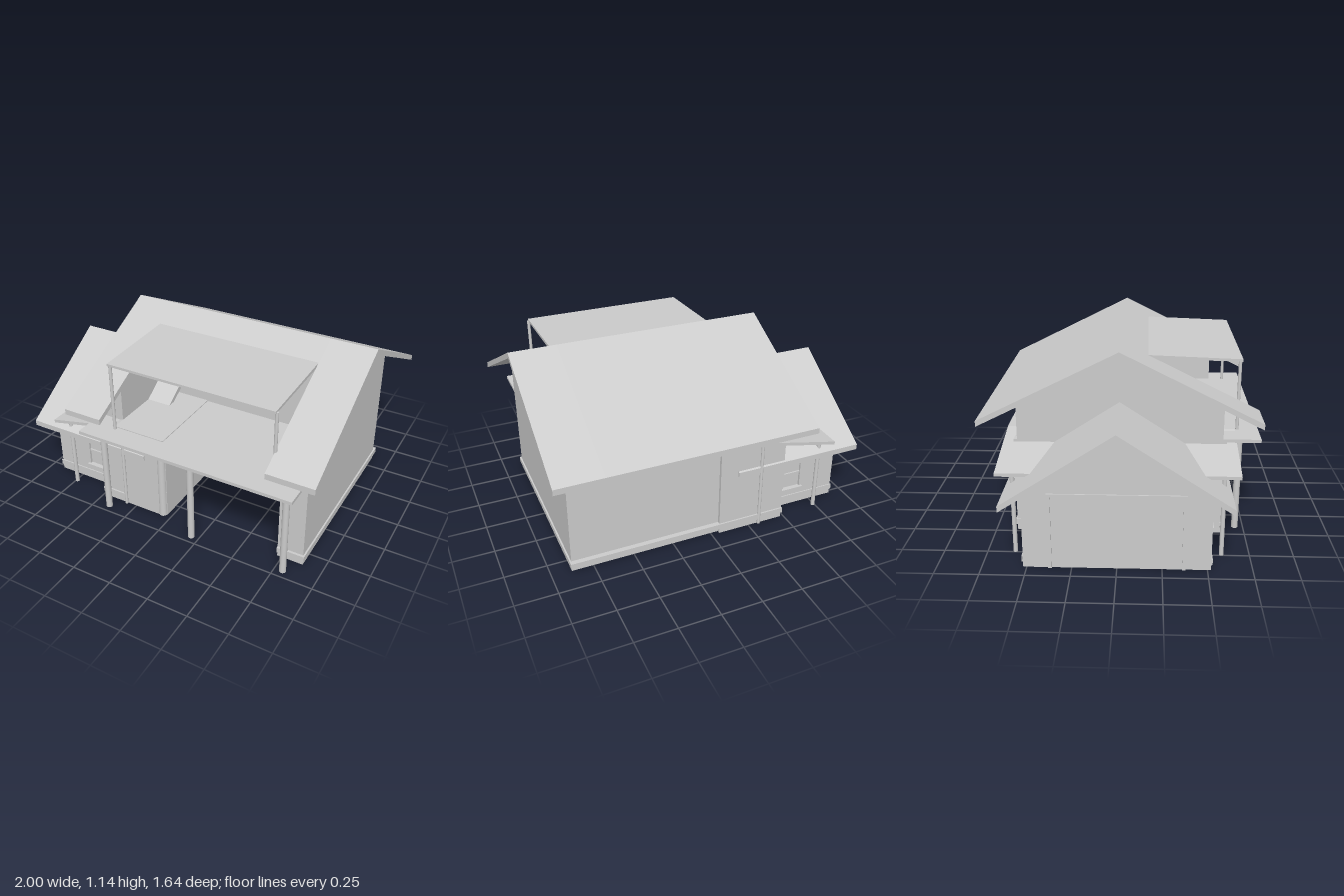
import * as THREE from 'three';

export function createModel() {
  const model = new THREE.Group();
  const mat = new THREE.MeshStandardMaterial({ color: 0xcccccc, side: THREE.DoubleSide });

  function add(name, geometry) {
    const mesh = new THREE.Mesh(geometry, mat);
    mesh.name = name;
    model.add(mesh);
    return mesh;
  }
  // box from its minimum and maximum on each axis
  function box(name, x0, x1, y0, y1, z0, z1) {
    const g = new THREE.BoxGeometry(x1 - x0, y1 - y0, z1 - z0);
    return add(name, g.translate((x0 + x1) / 2, (y0 + y1) / 2, (z0 + z1) / 2));
  }
  // [z, y] profile extruded along x
  function alongX(name, points, x0, x1) {
    const shape = new THREE.Shape(points.map(([z, y]) => new THREE.Vector2(-z, y)));
    const g = new THREE.ExtrudeGeometry(shape, { depth: x1 - x0, bevelEnabled: false });
    return add(name, g.rotateY(Math.PI / 2).translate(x0, 0, 0));
  }
  // [x, y] profile extruded along z
  function alongZ(name, points, z0, z1) {
    const shape = new THREE.Shape(points.map(([x, y]) => new THREE.Vector2(x, y)));
    const g = new THREE.ExtrudeGeometry(shape, { depth: z1 - z0, bevelEnabled: false });
    return add(name, g.translate(0, 0, z0));
  }
  function post(name, x, z, y0, y1, r) {
    add(name, new THREE.CylinderGeometry(r, r, y1 - y0, 16).translate(x, (y0 + y1) / 2, z));
  }
  // bent roof slab reaching zb at the back and zf at the front
  function roof(name, x0, x1, zb, zf, ridge, slope, t) {
    const yb = ridge + slope * zb, yf = ridge - slope * zf;
    alongX(name, [[zb, yb], [0, ridge], [zf, yf], [zf, yf - t], [0, ridge - t], [zb, yb - t]], x0, x1);
  }
  const gable = (w, eave, peak) => [[-w, 0], [w, 0], [w, eave], [0, peak], [-w, eave]];

  // main house walls
  alongX('rightGableWall', gable(0.6, 0.805, 1.105), 0.86, 0.88);
  alongX('leftGableWall', gable(0.6, 0.805, 1.105), -0.48, -0.46);
  box('backWall', -0.46, 0.86, 0, 0.805, -0.6, -0.58);
  box('frontWall', -0.46, -0.03, 0, 0.59, 0.58, 0.6);
  box('carportHeader', -0.03, 0.72, 0.49, 0.59, 0.58, 0.6);
  box('carportSideWall', 0.72, 0.86, 0, 0.59, 0.58, 0.6);
  box('carportInnerWall', -0.05, -0.03, 0, 0.59, -0.6, 0.6);
  box('frontWallPanel', -0.48, -0.05, 0, 0.59, 0.6, 0.62);
  box('backWallPanel', -0.48, -0.05, 0, 0.59, -0.62, -0.6);

  // main roof, cut open above the balcony
  roof('mainRoofLeft', -0.565, -0.32, -0.82, 0.82, 1.14, 0.5, 0.035);
  roof('mainRoofMiddle', -0.32, 0.72, -0.82, 0.17, 1.14, 0.5, 0.035);
  roof('mainRoofRight', 0.72, 1, -0.82, 0.82, 1.14, 0.5, 0.035);

  // balcony
  box('balconyDeck', -0.48, 0.88, 0.585, 0.605, -0.58, 0.82);
  box('balconyBackWall', -0.32, 0.72, 0.6, 1.03, 0.14, 0.16);
  const cheek = [[0.16, 0.6], [0.6, 0.6], [0.6, 0.805], [0.16, 1.025]];
  alongX('balconyLeftCheek', cheek, -0.34, -0.32);
  alongX('balconyRightCheek', cheek, 0.72, 0.74);
  box('upperFrontWallLeft', -0.46, -0.34, 0.6, 0.805, 0.58, 0.6);
  box('upperFrontWallRight', 0.74, 0.86, 0.6, 0.805, 0.58, 0.6);
  alongX('balconyRoof', [[0.16, 1.06], [0.71, 1.04], [0.71, 1.025], [0.16, 1.04]], -0.32, 0.72);
  for (const x of [-0.31, 0.72]) post('balconyPost', x, 0.695, 0.6, 1.03, 0.01);

  // posts under the deck
  for (const x of [-0.4, 0.2, 0.8]) post('deckPost', x, 0.7, 0, 0.59, 0.02);
  post('cornerPost', -0.06, 0.6, 0, 0.59, 0.026);

  // side annex
  const annexProfile = gable(0.52, 0.45, 0.785);
  alongX('annexGableWall', annexProfile, -0.91, -0.89);
  roof('annexRoof', -1, -0.165, -0.63, 0.63, 0.825, 0.655, 0.035);
  box('annexDoorHead', -0.918, -0.91, 0.43, 0.45, -0.38, 0.38);
  for (const z of [-0.38, 0.36]) box('annexDoorJamb', -0.918, -0.91, 0, 0.43, z, z + 0.02);

  // low canopy running from front to back through the annex roof
  alongZ('canopy', [[-0.79, 0.51], [-0.32, 0.61], [0.01, 0.61], [0.01, 0.595], [-0.32, 0.59], [-0.79, 0.49]], -0.68, 0.68);

  // annex walls, windows, canopy posts and skirting, mirrored front to back
  for (const s of [-1, 1]) {
    const side = (name, x0, x1, y0, y1, za, zb) =>
      box(name, x0, x1, y0, y1, Math.min(s * za, s * zb), Math.max(s * za, s * zb));
    side('annexSideWall', -0.89, -0.48, 0, 0.45, 0.5, 0.52);
    for (const x of [-0.67, -0.495]) side('windowStile', x, x + 0.012, 0.12, 0.34, 0.52, 0.535);
    side('windowMullion', -0.545, -0.533, 0.135, 0.34, 0.52, 0.53);
    side('windowHead', -0.67, -0.483, 0.328, 0.34, 0.52, 0.535);
    side('windowBar', -0.67, -0.483, 0.23, 0.242, 0.52, 0.53);
    side('windowSill', -0.675, -0.48, 0.115, 0.135, 0.52, 0.55);
    side('annexSkirting', -0.915, -0.48, 0.035, 0.07, 0.52, 0.527);
    post('canopyPost', -0.74, s * 0.59, 0, 0.5, 0.013);
    post('canopyPost', -0.32, s * 0.625, 0, 0.59, 0.01);
  }
  box('rightSkirting', 0.88, 0.89, 0.035, 0.07, -0.61, 0.61);
  box('backSkirting', -0.485, 0.89, 0.035, 0.07, -0.63, -0.6);
  box('frontSkirtingLeft', -0.49, -0.32, 0.035, 0.07, 0.6, 0.63);
  box('frontSkirtingRight', 0.72, 0.89, 0.035, 0.07, 0.6, 0.615);

  // low round hearth on the ground
  add('hearth', new THREE.CylinderGeometry(0.13, 0.17, 0.05, 10).translate(-0.16, 0.025, 0.02));

  return model;
}
